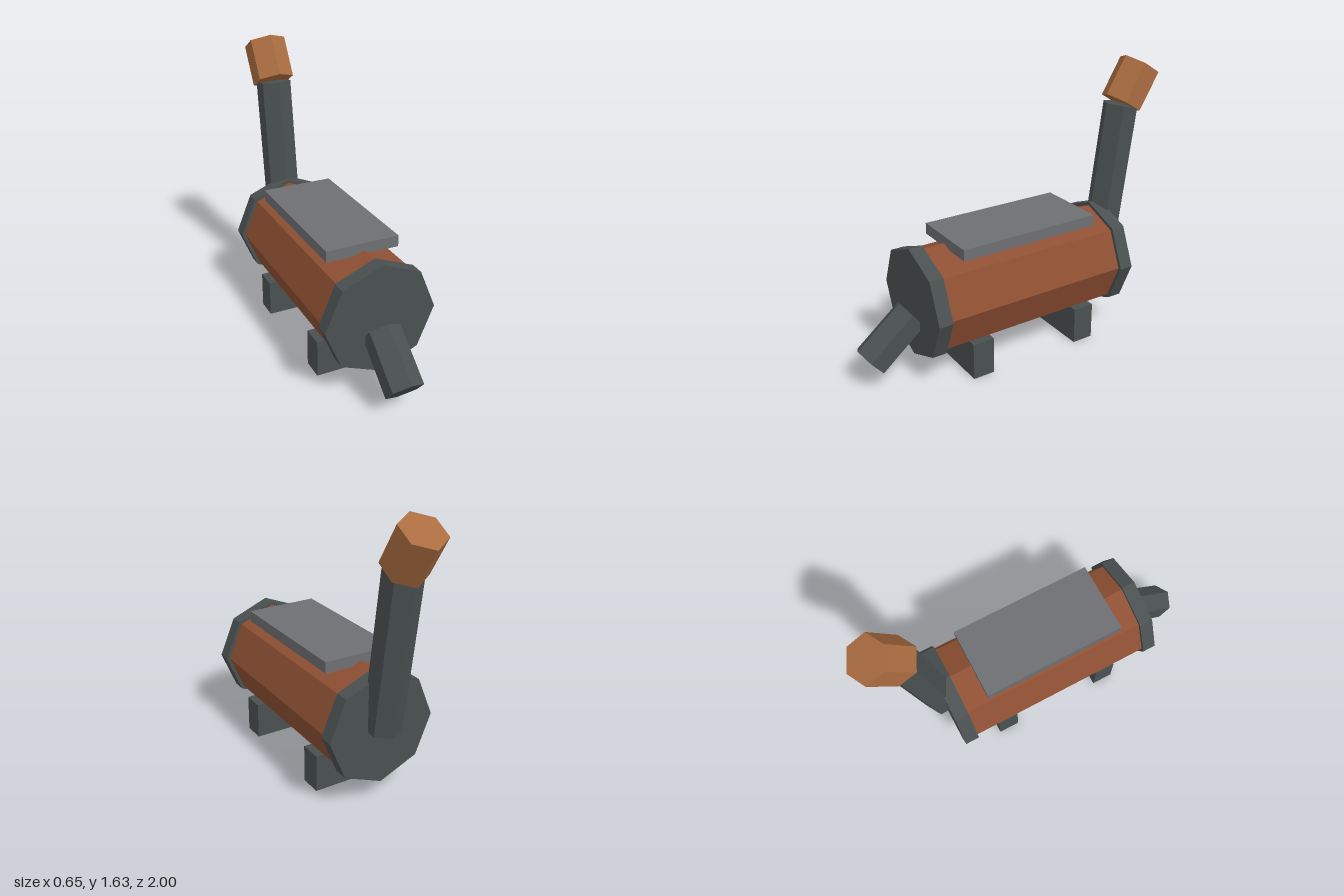
import * as THREE from 'three';

export function createModel() {
  const group = new THREE.Group();
  const material = (name, color) => {
    const m = new THREE.MeshStandardMaterial({ color, flatShading: true });
    m.name = name;
    return m;
  };
  const iron = material('dark iron', 0x4a5050);
  const plate = material('grey plate', 0x6e6f73);
  const rust = material('rust brown', 0x8f5033);
  const copper = material('copper', 0xaa6c40);

  const add = (name, geometry, mat) => {
    const mesh = new THREE.Mesh(geometry, mat);
    mesh.name = name;
    group.add(mesh);
    return mesh;
  };

  // Prism whose axis runs between two [y, z] points in the x = 0 plane
  const prism = (name, sides, radius, [y0, z0], [y1, z1], mat) => {
    const length = Math.hypot(y1 - y0, z1 - z0);
    const mesh = add(name, new THREE.CylinderGeometry(radius, radius, length, sides), mat);
    mesh.position.set(0, (y0 + y1) / 2, (z0 + z1) / 2);
    mesh.rotation.x = Math.atan2(z1 - z0, y1 - y0);
  };

  const box = (name, w, h, d, y, z, mat) =>
    add(name, new THREE.BoxGeometry(w, h, d), mat).position.set(0, y, z);

  // Octagonal barrel with an end flange at each end
  const axis = 0.435;
  prism('barrel', 8, 0.303, [axis, -0.6], [axis, 0.64], rust);
  prism('frontFlange', 8, 0.324, [axis, 0.588], [axis, 0.67], iron);
  prism('backFlange', 8, 0.324, [axis, -0.63], [axis, -0.546], iron);

  // Spout, chimney and its angled cap
  prism('spout', 6, 0.106, [0.368, 0.677], [0.156, 0.932], iron);
  prism('chimney', 6, 0.106, [0.44, -0.63], [1.345, -0.757], iron);
  prism('chimneyCap', 6, 0.127, [1.349, -0.758], [1.562, -0.888], copper);

  // Top plate and crosswise feet
  box('topPlate', 0.43, 0.065, 0.865, 0.748, 0.022, plate);
  box('frontFoot', 0.52, 0.22, 0.13, 0.11, 0.37, iron);
  box('backFoot', 0.52, 0.22, 0.13, 0.11, -0.325, iron);

  return group;
}
